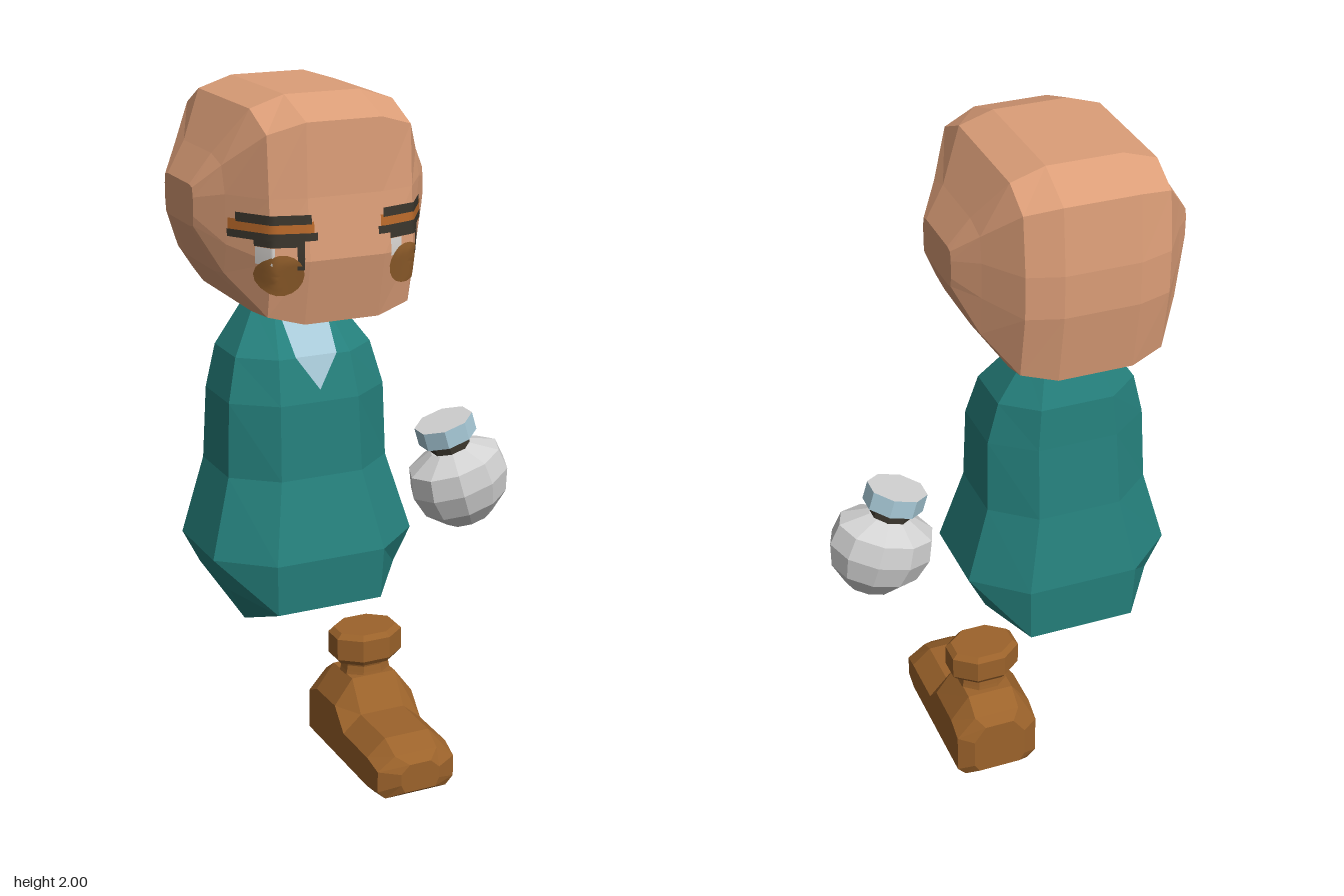
import * as THREE from 'three';

const mat = (name, color, extra = {}) => new THREE.MeshStandardMaterial({ name, color, ...extra });

// Closed flat-shaded skin through equal-length rings of [x, y, z] points, capped at both ends
function loft(rings) {
  const n = rings[0].length, tris = [];
  for (let r = 0; r < rings.length - 1; r++) {
    for (let i = 0; i < n; i++) {
      const j = (i + 1) % n;
      const a = rings[r][i], b = rings[r][j], c = rings[r + 1][j], d = rings[r + 1][i];
      tris.push([a, b, c], [a, c, d]);
    }
  }
  const first = rings[0], last = rings[rings.length - 1];
  for (let i = 1; i < n - 1; i++) {
    tris.push([first[0], first[i + 1], first[i]], [last[0], last[i], last[i + 1]]);
  }
  // Turn the faces outward whichever way the rings run
  const v = (p) => new THREE.Vector3(...p);
  const volume = tris.reduce((s, [a, b, c]) => s + v(a).dot(v(b).cross(v(c))), 0);
  const pos = tris.flatMap(([a, b, c]) => (volume < 0 ? [a, c, b] : [a, b, c])).flat();
  const geo = new THREE.BufferGeometry();
  geo.setAttribute('position', new THREE.Float32BufferAttribute(pos, 3));
  geo.computeVertexNormals();
  return geo;
}

// Flat-shaded turned part, squashed front to back
function turned(profile, sides, depth) {
  const pts = profile.map(([r, y]) => new THREE.Vector2(r / Math.cos(Math.PI / sides), y));
  const geo = new THREE.LatheGeometry(pts, sides, Math.PI / sides).scale(1, 1, depth).toNonIndexed();
  geo.computeVertexNormals();
  return geo;
}

const CX = -0.17; // middle of head and body

// Head sections as [z, y], from the middle out to the side, with their x offsets
const headX = [0.105, 0.2, 0.275, 0.33];
const headRings = [
  [[0.16, 2], [-0.2, 2], [-0.32, 1.94], [-0.34, 1.76], [-0.34, 1.64], [-0.31, 1.44],
    [-0.2, 1.41], [0.15, 1.41], [0.28, 1.425], [0.32, 1.6], [0.305, 1.76], [0.3, 1.95]],
  [[0.16, 1.97], [-0.2, 1.97], [-0.29, 1.92], [-0.31, 1.76], [-0.31, 1.64], [-0.28, 1.46],
    [-0.2, 1.44], [0.15, 1.44], [0.26, 1.45], [0.29, 1.6], [0.28, 1.76], [0.27, 1.92]],
  [[0.08, 1.85], [-0.12, 1.85], [-0.19, 1.83], [-0.2, 1.76], [-0.2, 1.66], [-0.19, 1.55],
    [-0.12, 1.54], [0.08, 1.54], [0.15, 1.55], [0.17, 1.63], [0.17, 1.76], [0.15, 1.83]],
  [[0.06, 1.77], [-0.1, 1.77], [-0.12, 1.765], [-0.125, 1.74], [-0.125, 1.69], [-0.12, 1.665],
    [-0.1, 1.66], [0.06, 1.66], [0.08, 1.665], [0.085, 1.69], [0.085, 1.74], [0.08, 1.765]],
];

// Front surface of the head, for laying the eyes on it
function ringFront(ring, y) {
  const front = ring.slice(8, 12);
  const k = front.findIndex((p) => p[1] >= y);
  if (k <= 0) return front[k < 0 ? 3 : 0][0];
  const [a, b] = [front[k - 1], front[k]];
  return THREE.MathUtils.mapLinear(y, a[1], b[1], a[0], b[0]);
}
function faceZ(x, y) {
  const u = Math.abs(x - CX), z = headRings.slice(0, 3).map((r) => ringFront(r, y));
  if (u <= headX[0]) return z[0];
  const k = u < headX[1] ? 0 : 1;
  return THREE.MathUtils.mapLinear(u, headX[k], headX[k + 1], z[k], z[k + 1]);
}
function wrapOnFace(geo, x, y, lift) {
  geo.translate(x, y, 0);
  const p = geo.attributes.position;
  for (let i = 0; i < p.count; i++) p.setZ(i, faceZ(p.getX(i), p.getY(i)) + lift);
  geo.computeVertexNormals();
  return geo;
}

export function createModel() {
  const model = new THREE.Group();
  const skin = mat('skin', 0xdc9e78);
  const teal = mat('tealCloth', 0x25807c);
  const leather = mat('brownLeather', 0x9c632b);
  const glove = mat('paleGlove', 0xd2d2d2);
  const blue = mat('lightBlue', 0xa8cad8, { side: THREE.DoubleSide });
  const dark = mat('darkBrown', 0x3a352c);
  const amber = mat('amber', 0xb9692a);
  const iris = mat('irisBrown', 0x94602c);
  const white = mat('eyeWhite', 0xd8d4d0);
  const add = (name, geo, material, parent = model) => {
    const mesh = new THREE.Mesh(geo, material);
    mesh.name = name;
    parent.add(mesh);
    return mesh;
  };

  // Head: sections mirrored across its middle
  const section = (i, side) => headRings[i].map(([z, y]) => [CX + side * headX[i], y, z]);
  add('head', loft([...[3, 2, 1, 0].map((i) => section(i, -1)),
    ...[0, 1, 2, 3].map((i) => section(i, 1))]), skin);

  // Eyes: thin painted strokes following the face
  for (const side of [-1, 1]) {
    const eye = new THREE.Group();
    eye.name = side > 0 ? 'leftEye' : 'rightEye';
    model.add(eye);
    const x = CX + side * 0.175;
    const stroke = (name, w, h, dx, y, lift, m) =>
      add(name, wrapOnFace(new THREE.PlaneGeometry(w, h, 16, 2), x + dx, y, lift), m, eye);
    stroke('browLine', 0.16, 0.024, side * 0.005, 1.708, 0.008, dark);
    stroke('eyeShadow', 0.18, 0.04, side * 0.008, 1.682, 0.006, amber);
    stroke('upperLid', 0.19, 0.02, side * 0.005, 1.664, 0.008, dark);
    stroke('lowerLid', 0.11, 0.018, 0, 1.648, 0.008, dark);
    stroke('eyeWhite', 0.035, 0.045, -0.035, 1.615, 0.006, white);
    stroke('eyeCorner', 0.018, 0.06, 0.045, 1.61, 0.009, dark);
    const disc = new THREE.RingGeometry(0, 0.055, 18, 4);
    add('iris', wrapOnFace(disc, x, 1.565, 0.008), iris, eye);
  }

  // Robe: eight-sided rings [y, half width, front half width, front z, back z]
  const robe = [
    [1.43, 0.1, 0.06, -0.02, -0.13], [1.4, 0.12, 0.075, 0, -0.15],
    [1.28, 0.2, 0.105, 0.105, -0.2], [1.16, 0.23, 0.115, 0.138, -0.21],
    [0.95, 0.237, 0.12, 0.15, -0.235], [0.73, 0.3, 0.16, 0.21, -0.275],
    [0.6, 0.25, 0.155, 0.2, -0.27],
  ].map(([y, w, f, zf, zb], i) => {
    const mid = (zf + zb) / 2, d = (zf - zb) / 4;
    const hem = i === 6 ? 0.03 : 0;
    return [[f, y - hem * 0.6, zf], [w, y + hem, mid + d], [w, y + hem, mid - d], [f, y - hem, zb],
      [-f, y - hem, zb], [-w, y + hem, mid - d], [-w, y + hem, mid + d], [-f, y - hem * 0.6, zf]]
      .map(([x, yy, z]) => [CX + x, yy, z]);
  });
  // Underside closes to a ridge running across
  robe.push(robe[6].map(([x]) => [CX + Math.sign(x - CX) * 0.16, 0.48, -0.04]));
  add('robe', loft(robe), teal);

  // Collar: thin pointed plate on the chest
  const collar = new THREE.BufferGeometry();
  collar.setAttribute('position', new THREE.Float32BufferAttribute([
    -0.07, 1.41, 0, 0.07, 1.41, 0, -0.06, 1.285, 0.111, 0.06, 1.285, 0.111, 0, 1.195, 0.137,
  ], 3));
  collar.setIndex([0, 2, 1, 1, 2, 3, 2, 4, 3]);
  collar.translate(CX, 0, 0.004);
  add('collar', collar.toNonIndexed(), blue).geometry.computeVertexNormals();

  // Hand: gloved fist under a tilted cuff
  const hand = new THREE.Group();
  hand.name = 'leftHand';
  hand.position.set(0.295, 0.965, -0.012);
  hand.rotation.z = 0.29;
  model.add(hand);
  add('fist', turned([[0, -0.29], [0.07, -0.288], [0.125, -0.23], [0.146, -0.16],
    [0.135, -0.095], [0.06, -0.055], [0, -0.055]], 10, 0.83), glove, hand);
  add('wrist', turned([[0.055, -0.07], [0.055, -0.02]], 8, 0.9), dark, hand);
  const cuff = new THREE.CylinderGeometry(0.088, 0.088, 0.055, 8, 1, false, Math.PI / 8)
    .scale(1, 1, 0.88).toNonIndexed();
  cuff.computeVertexNormals();
  add('cuff', cuff, [blue, glove, teal], hand).position.y = 0.005;

  // Foot: sections from toe to heel [z, half width, bottom, top]
  const BX = 0.045;
  add('leftBoot', loft([
    [0.34, 0.06, 0.03, 0.115], [0.31, 0.12, 0.008, 0.135], [0.25, 0.125, 0, 0.165],
    [0.09, 0.125, 0, 0.165], [0.03, 0.125, 0, 0.255], [-0.1, 0.125, 0, 0.25],
    [-0.155, 0.125, 0, 0.21], [-0.18, 0.08, 0.02, 0.185],
  ].map(([z, w, b, t]) => {
    const low = b + 0.025, high = b + (t - b) * 0.7;
    return [[0.8 * w, b], [w, low], [w, high], [0.55 * w, t],
      [-0.55 * w, t], [-w, high], [-w, low], [-0.8 * w, b]].map(([x, y]) => [BX + x, y, z]);
  })), leather);

  // Ankle and boot top
  const ankle = add('bootTop', turned([[0.075, 0.23], [0.068, 0.262], [0.065, 0.28], [0.07, 0.295],
    [0.09, 0.295], [0.103, 0.31], [0.103, 0.375], [0.088, 0.39], [0, 0.39]], 8, 0.78), leather);
  ankle.position.set(BX, 0, -0.03);

  return model;
}
